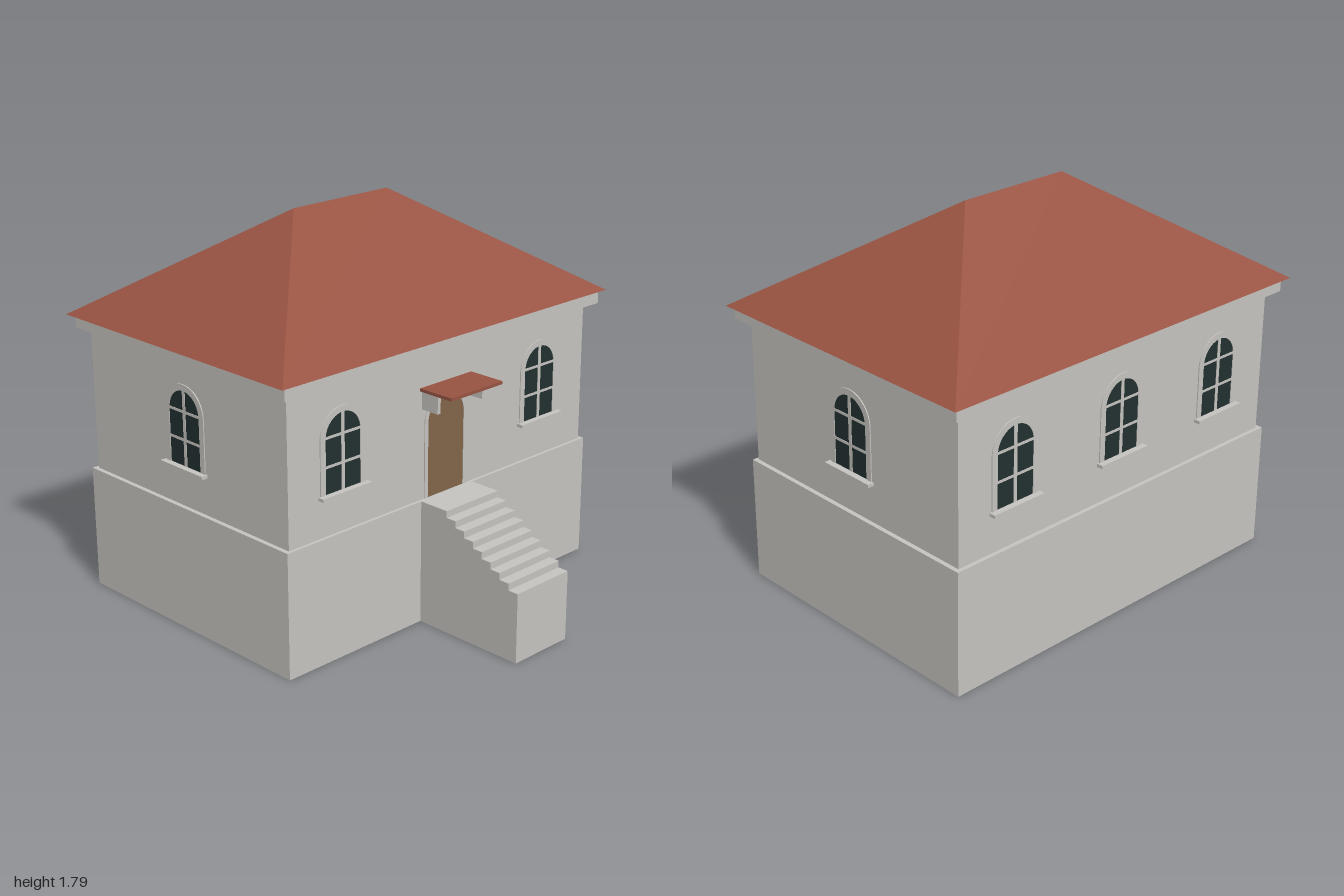
import * as THREE from 'three';

const stone = new THREE.MeshStandardMaterial({ color: 0xc6c4bf, side: THREE.DoubleSide });
stone.name = 'pale stone';
const tile = new THREE.MeshStandardMaterial({ color: 0x985342 });
tile.name = 'red roof tile';
const wood = new THREE.MeshStandardMaterial({ color: 0x826549 });
wood.name = 'brown door wood';
const glass = new THREE.MeshStandardMaterial({ color: 0x223030 });
glass.name = 'dark glass';

const BASE_TOP = 0.577, EAVES = 1.307, MID_Z = -0.253;
const WALL_X = 0.922, WALL_FRONT = 0.396, WALL_BACK = -0.898;

function add(parent, name, geometry, material) {
  const mesh = new THREE.Mesh(geometry, material);
  mesh.name = name;
  parent.add(mesh);
  return mesh;
}

// Box given by its limits; the underside can be left open
function box(x0, x1, y0, y1, z0, z1, openBelow = false) {
  const g = new THREE.BoxGeometry(x1 - x0, y1 - y0, z1 - z0);
  g.translate((x0 + x1) / 2, (y0 + y1) / 2, (z0 + z1) / 2);
  if (openBelow) {
    const index = Array.from(g.index.array);
    index.splice(18, 6);
    g.setIndex(index);
    g.clearGroups();
  }
  return g;
}

// Round-headed outline standing on y = bottom
function archShape(r, bottom, spring) {
  const s = new THREE.Shape();
  s.moveTo(-r, bottom);
  s.lineTo(r, bottom);
  s.lineTo(r, spring);
  s.absarc(0, spring, r, 0, Math.PI, false);
  s.lineTo(-r, bottom);
  return s;
}

// Arched band around an opening, open at the foot
function archBand(outer, inner, bottom, spring) {
  const s = new THREE.Shape();
  s.moveTo(inner, bottom);
  s.lineTo(outer, bottom);
  s.lineTo(outer, spring);
  s.absarc(0, spring, outer, 0, Math.PI, false);
  s.lineTo(-outer, bottom);
  s.lineTo(-inner, bottom);
  s.lineTo(-inner, spring);
  s.absarc(0, spring, inner, Math.PI, 0, true);
  s.lineTo(inner, bottom);
  return s;
}

const plate = (shape, depth) =>
  new THREE.ExtrudeGeometry(shape, { depth, bevelEnabled: false, curveSegments: 10 });

function makeWindow() {
  const w = new THREE.Group();
  w.name = 'window';
  add(w, 'windowPane', plate(archShape(0.1, 0.76, 1.009), 0.002), glass);
  add(w, 'windowFrame', plate(archBand(0.128, 0.099, 0.76, 1.009), 0.005), stone);
  add(w, 'verticalBar', box(-0.009, 0.009, 0.76, 1.109, 0, 0.004), stone);
  for (const y of [0.885, 1.013]) {
    add(w, 'crossBar', box(-0.099, 0.099, y - 0.006, y + 0.006, 0, 0.004), stone);
  }
  add(w, 'windowSill', box(-0.139, 0.139, 0.75, 0.765, 0, 0.031), stone);
  return w;
}

function makeRoof() {
  const y0 = EAVES, y1 = 1.787, ridge = 0.283, zf = 0.464, zb = -0.969;
  const a = [-1, y0, zf], b = [1, y0, zf], c = [1, y0, zb], d = [-1, y0, zb];
  const l = [-ridge, y1, MID_Z], r = [ridge, y1, MID_Z];
  const faces = [
    a, b, r, a, r, l, // front slope
    c, d, l, c, l, r, // back slope
    b, c, r, // left hip
    d, a, l, // right hip
    a, d, c, a, c, b, // underside
  ];
  const g = new THREE.BufferGeometry();
  g.setAttribute('position', new THREE.Float32BufferAttribute(faces.flat(), 3));
  g.computeVertexNormals();
  return g;
}

// Solid flight of steps, profile drawn along z and extruded across x
function makeSteps() {
  const count = 8, front = 0.975, landing = 0.563, low = 0.325, half = 0.163;
  const run = (front - landing) / count, rise = (BASE_TOP - low) / count;
  const s = new THREE.Shape();
  s.moveTo(WALL_FRONT, 0);
  s.lineTo(front, 0);
  for (let i = 0; i < count; i++) {
    s.lineTo(front - i * run, low + i * rise);
    s.lineTo(front - (i + 1) * run, low + i * rise);
  }
  s.lineTo(landing, BASE_TOP);
  s.lineTo(WALL_FRONT, BASE_TOP);
  s.lineTo(WALL_FRONT, 0);
  const g = new THREE.ExtrudeGeometry(s, { depth: half * 2, bevelEnabled: false });
  g.translate(0, 0, -half);
  g.rotateY(-Math.PI / 2);
  return g;
}

export function createModel() {
  const house = new THREE.Group();
  house.name = 'house';

  // Main masses
  add(house, 'basement', box(-0.943, 0.943, 0, BASE_TOP, -0.917, 0.411, true), stone);
  add(house, 'walls', box(-WALL_X, WALL_X, BASE_TOP, 1.3, WALL_BACK, WALL_FRONT, true), stone);
  add(house, 'cornice', box(-0.97, 0.97, 1.245, EAVES - 0.001, -0.942, 0.443, true), stone);
  add(house, 'roof', makeRoof(), tile);
  add(house, 'steps', makeSteps(), stone);

  // Windows: two in front, three behind, one on each side
  const places = [
    [-0.617, WALL_FRONT, 0], [0.617, WALL_FRONT, 0],
    [-0.617, WALL_BACK, Math.PI], [0, WALL_BACK, Math.PI], [0.617, WALL_BACK, Math.PI],
    [WALL_X, MID_Z, Math.PI / 2], [-WALL_X, MID_Z, -Math.PI / 2],
  ];
  for (const [x, z, turn] of places) {
    const w = makeWindow();
    w.position.set(x, 0, z);
    w.rotation.y = turn;
    house.add(w);
  }

  // Doorway with its small canopy
  const entrance = new THREE.Group();
  entrance.name = 'entrance';
  entrance.position.z = WALL_FRONT;
  add(entrance, 'door', plate(archShape(0.113, BASE_TOP, 0.925), 0.002), wood);
  add(entrance, 'doorFrame', plate(archBand(0.132, 0.112, BASE_TOP, 0.925), 0.005), stone);
  add(entrance, 'canopy', box(-0.16, 0.16, 1.079, 1.093, 0, 0.183), tile);
  for (const side of [-1, 1]) {
    const x = side * 0.14;
    add(entrance, 'canopyBracket', box(x - 0.009, x + 0.009, 0.995, 1.079, 0, 0.094), stone);
  }
  house.add(entrance);

  return house;
}
